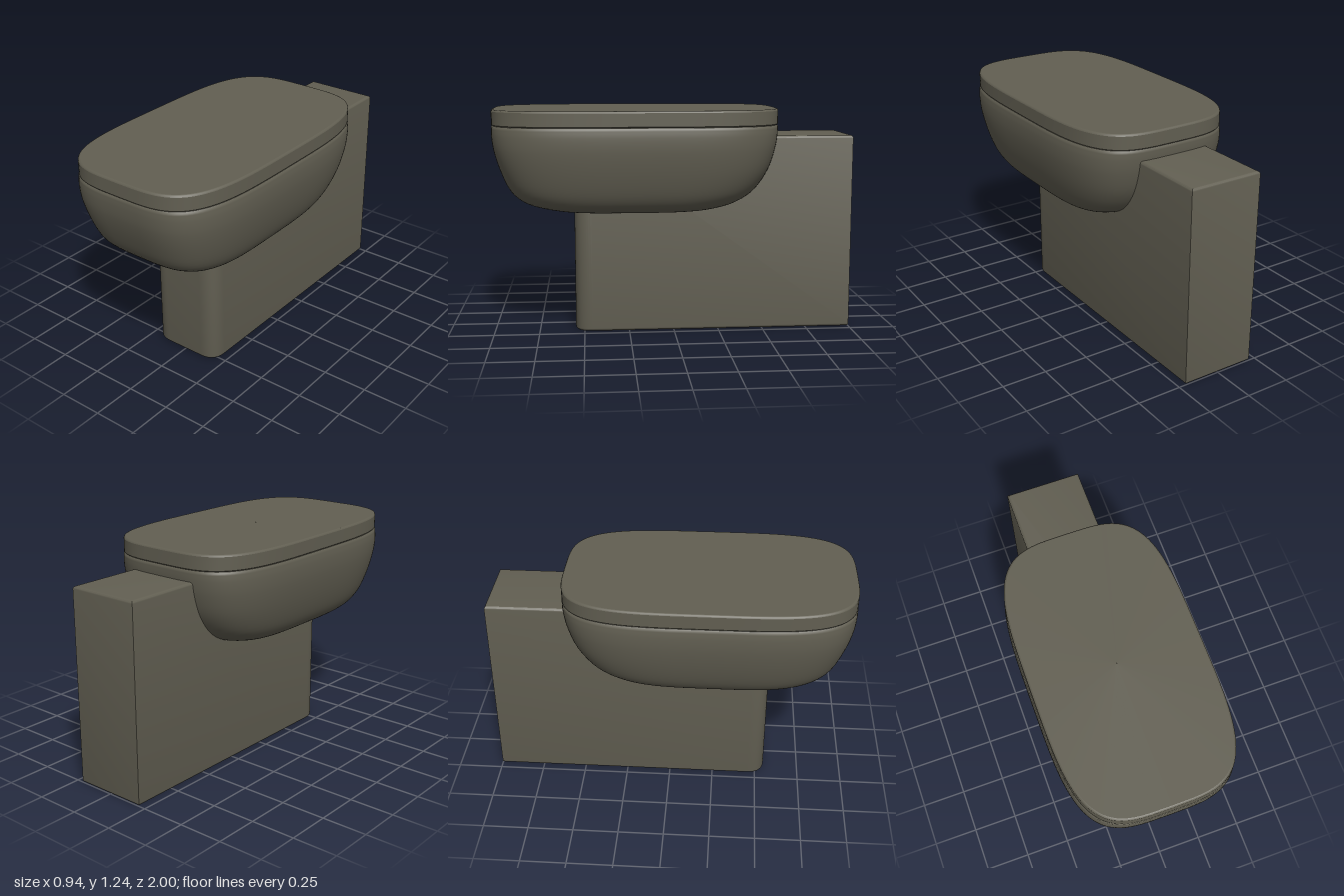
import * as THREE from 'three';
import { toCreasedNormals } from 'three/addons/utils/BufferGeometryUtils.js';

const SEG = 96;

// Surface through rounded-rectangle rings [y, halfWidth, zFront, zBack], bottom to top.
function loft(rings, n) {
  const pos = [], idx = [];
  const curve = (v) => Math.sign(v) * Math.pow(Math.abs(v), 2 / n);
  for (const [y, hx, zf, zb] of rings) {
    for (let i = 0; i < SEG; i++) {
      const t = (i / SEG) * Math.PI * 2;
      pos.push(hx * curve(Math.cos(t)), y, (zf + zb) / 2 + ((zf - zb) / 2) * curve(Math.sin(t)));
    }
  }
  for (let r = 0; r < rings.length - 1; r++) {
    for (let i = 0; i < SEG; i++) {
      const a = r * SEG + i, b = r * SEG + ((i + 1) % SEG);
      idx.push(a, a + SEG, b, b, a + SEG, b + SEG);
    }
  }
  const geo = new THREE.BufferGeometry();
  geo.setAttribute('position', new THREE.Float32BufferAttribute(pos, 3));
  geo.setIndex(idx);
  geo.computeVertexNormals();
  return geo;
}

// Smoothly interpolates extra rings between the given ones.
function refine(rings, steps) {
  const side = new THREE.CatmullRomCurve3(rings.map((r) => new THREE.Vector3(r[1], r[0], r[2])));
  const back = new THREE.CatmullRomCurve3(rings.map((r) => new THREE.Vector3(r[3], r[0], 0)));
  const out = [];
  const count = (rings.length - 1) * steps;
  for (let i = 0; i <= count; i++) {
    const p = side.getPoint(i / count), q = back.getPoint(i / count);
    out.push([p.y, p.x, p.z, q.x]);
  }
  return out;
}

export function createModel() {
  const model = new THREE.Group();
  const ceramic = new THREE.MeshStandardMaterial({ color: 0x625f52 });
  ceramic.name = 'olive grey ceramic';
  const add = (name, geo) => {
    const mesh = new THREE.Mesh(geo, ceramic);
    mesh.name = name;
    model.add(mesh);
    return mesh;
  };

  // Pedestal: long block with rounded front corners and softened edges
  const bevel = 0.015, w = 0.21 - bevel, front = -0.55 + bevel, rear = 1 - bevel, r = 0.08;
  const plan = new THREE.Shape();
  plan.moveTo(-w, rear);
  plan.lineTo(-w, front + r);
  plan.quadraticCurveTo(-w, front, -w + r, front);
  plan.lineTo(w - r, front);
  plan.quadraticCurveTo(w, front, w, front + r);
  plan.lineTo(w, rear);
  plan.closePath();
  const block = new THREE.ExtrudeGeometry(plan, {
    depth: 1.09 - 2 * bevel, bevelThickness: bevel, bevelSize: bevel, bevelSegments: 4, curveSegments: 12,
  });
  block.rotateX(-Math.PI / 2);
  block.translate(0, bevel, 0);
  add('pedestal', toCreasedNormals(block, 0.6));

  // Bowl: rounded belly, steeper at the front than at the back
  const belly = refine([
    [0.67, 0.14, 0.42, -0.02],
    [0.677, 0.27, 0.6, -0.16],
    [0.695, 0.33, 0.72, -0.27],
    [0.73, 0.375, 0.83, -0.37],
    [0.79, 0.41, 0.9, -0.455],
    [0.9, 0.445, 0.952, -0.53],
    [1.02, 0.467, 0.988, -0.57],
    [1.1, 0.47, 0.998, -0.583],
    [1.145, 0.465, 0.998, -0.585],
  ], 4);
  const rim = [[1.152, 0.458, 0.991, -0.578], [1.152, 0.001, 0.206, 0.204]];
  add('bowl', loft([[0.67, 0.001, 0.206, 0.204], ...belly, rim[0], rim[0], rim[1]], 3.8));

  // Lid: flat slab with a slightly rounded top edge
  const ring = (y, inset) => [y, 0.461 - inset, 0.997 - inset, -0.585 + inset];
  const underside = ring(1.153, 0.004), top = ring(1.24, 0.01);
  add('lid', loft([
    [1.153, 0.001, 0.206, 0.204], underside, underside, ring(1.158, 0), ring(1.158, 0),
    ring(1.23, 0), ring(1.23, 0), ring(1.237, 0.003), top, top, [1.24, 0.001, 0.206, 0.204],
  ], 3.8));

  return model;
}
